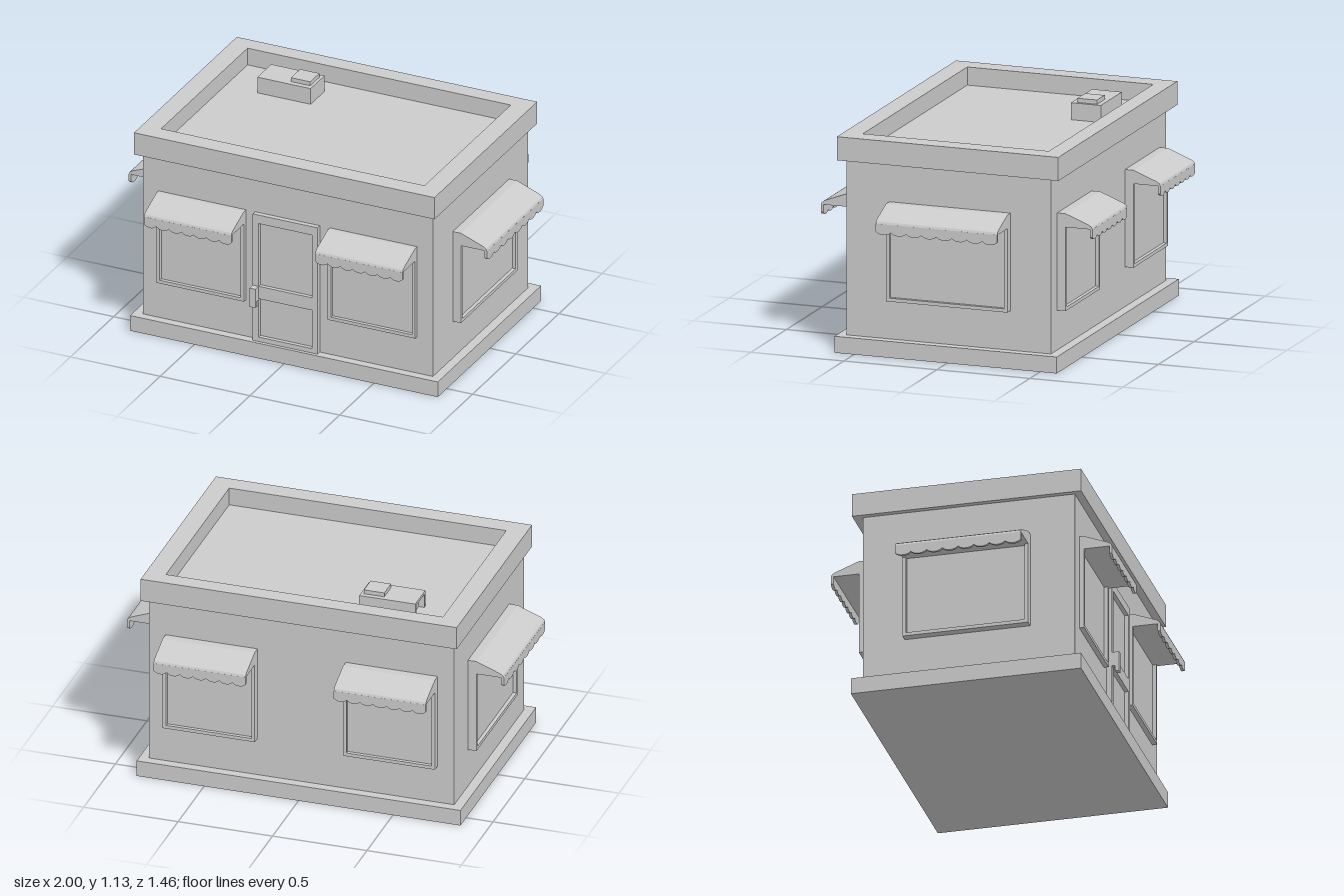
import * as THREE from 'three';

const material = new THREE.MeshStandardMaterial({ color: 0xcccccc, flatShading: true });

function add(parent, name, geometry) {
  const mesh = new THREE.Mesh(geometry, material);
  mesh.name = name;
  parent.add(mesh);
  return mesh;
}

// Box given by its extents on each axis
function box(parent, name, x0, x1, y0, y1, z0, z1) {
  const g = new THREE.BoxGeometry(x1 - x0, y1 - y0, z1 - z0);
  g.translate((x0 + x1) / 2, (y0 + y1) / 2, (z0 + z1) / 2);
  return add(parent, name, g);
}

function rect(Type, x0, x1, y0, y1) {
  return new Type([[x0, y0], [x1, y0], [x1, y1], [x0, y1]].map(p => new THREE.Vector2(...p)));
}

function extrude(shape, depth) {
  return new THREE.ExtrudeGeometry(shape, { depth, bevelEnabled: false, curveSegments: 5 });
}

// Framed window under a scalloped awning, facing +z with the wall at z = 0
function createWindow(name, width, scallops) {
  const unit = new THREE.Group();
  unit.name = name;
  const h = width / 2;

  const frame = rect(THREE.Shape, -h, h, 0.29, 0.79);
  frame.holes.push(rect(THREE.Path, -h + 0.018, h - 0.018, 0.308, 0.77));
  add(unit, 'windowFrame', extrude(frame, 0.045));
  box(unit, 'windowPane', -h + 0.01, h - 0.01, 0.3, 0.78, 0, 0.026);

  // Awning canopy from its side profile
  const profile = new THREE.Shape([
    [0, 0.725], [0.19, 0.725], [0.185, 0.737], [0.17, 0.747], [0.045, 0.795], [0, 0.795],
  ].map(p => new THREE.Vector2(...p)));
  const canopy = extrude(profile, width);
  canopy.translate(0, 0, -h);
  canopy.rotateY(-Math.PI / 2);
  add(unit, 'awningCanopy', canopy);

  // Hanging valance with a row of shallow scallops
  const valance = new THREE.Shape();
  const step = width / scallops;
  valance.moveTo(-h, 0.726);
  valance.lineTo(-h, 0.685);
  for (let i = 0; i < scallops; i++) {
    const x = -h + i * step;
    valance.bezierCurveTo(x + step * 0.2, 0.665, x + step * 0.8, 0.665, x + step, 0.685);
  }
  valance.lineTo(h, 0.726);
  const strip = extrude(valance, 0.014);
  strip.translate(0, 0, 0.176);
  add(unit, 'awningValance', strip);
  return unit;
}

export function createModel() {
  const model = new THREE.Group();
  model.name = 'shopBuilding';

  // Building shell
  box(model, 'plinth', -0.858, 0.857, 0, 0.085, -0.59, 0.605);
  box(model, 'walls', -0.808, 0.808, 0.08, 1.0, -0.54, 0.56);
  box(model, 'roof', -0.76, 0.76, 0.995, 1.02, -0.52, 0.52);

  // Parapet ring around the sunken roof
  const ring = rect(THREE.Shape, -0.838, 0.836, -0.6, 0.59);
  ring.holes.push(rect(THREE.Path, -0.735, 0.732, -0.5, 0.5));
  const parapet = extrude(ring, 0.122);
  parapet.rotateX(-Math.PI / 2);
  parapet.translate(0, 0.992, 0);
  add(model, 'parapet', parapet);

  // Windows with awnings: two front, two back, one on each side
  const places = [
    ['frontLeftWindow', 0.487, 7, 0.477, 0.54, 0],
    ['frontRightWindow', 0.487, 7, -0.477, 0.54, 0],
    ['backLeftWindow', 0.487, 7, 0.477, -0.54, Math.PI],
    ['backRightWindow', 0.487, 7, -0.477, -0.54, Math.PI],
    ['leftWindow', 0.653, 8, 0.808, 0.003, Math.PI / 2],
    ['rightWindow', 0.653, 8, -0.808, 0.003, -Math.PI / 2],
  ];
  for (const [name, width, scallops, x, z, turn] of places) {
    const unit = createWindow(name, width, scallops);
    unit.position.set(x, 0, z);
    unit.rotation.y = turn;
    model.add(unit);
  }

  // Door with two recessed panels and a pull handle
  const door = new THREE.Group();
  door.name = 'door';
  model.add(door);
  const leaf = rect(THREE.Shape, -0.183, 0.178, 0.08, 0.795);
  leaf.holes.push(rect(THREE.Path, -0.15, 0.147, 0.395, 0.747));
  leaf.holes.push(rect(THREE.Path, -0.15, 0.147, 0.11, 0.325));
  const leafGeometry = extrude(leaf, 0.03);
  leafGeometry.translate(0, 0, 0.557);
  add(door, 'doorFrame', leafGeometry);
  box(door, 'doorPanels', -0.16, 0.16, 0.1, 0.76, 0.55, 0.566);
  box(door, 'doorHandle', -0.183, -0.15, 0.29, 0.395, 0.605, 0.625);
  box(door, 'handleMount', -0.183, -0.15, 0.32, 0.395, 0.58, 0.61);

  // Rooftop air unit with a hooded end and a cap
  const vent = new THREE.Group();
  vent.name = 'roofAirUnit';
  model.add(vent);
  box(vent, 'unitBody', -0.525, -0.258, 1.015, 1.108, -0.4, -0.24);
  box(vent, 'hoodTop', -0.555, -0.52, 1.093, 1.108, -0.4, -0.24);
  box(vent, 'hoodCheek', -0.555, -0.52, 1.015, 1.1, -0.4, -0.382);
  box(vent, 'hoodCheek', -0.555, -0.52, 1.015, 1.1, -0.258, -0.24);
  box(vent, 'unitCap', -0.382, -0.274, 1.1, 1.13, -0.374, -0.268);

  return model;
}
